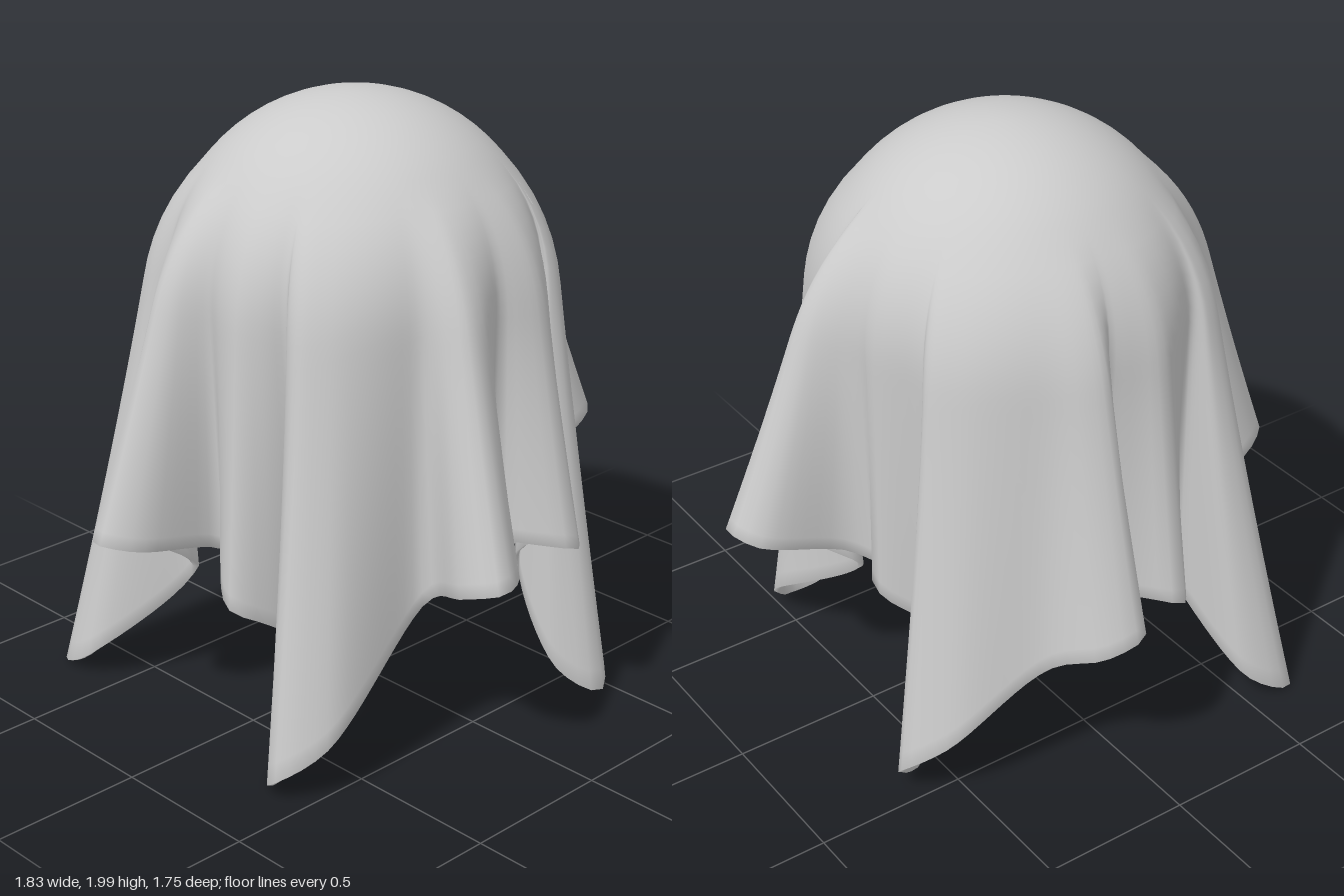
import * as THREE from 'three';

const COLS = 240, ROWS = 36, DOME_ROWS = 10;
const R = 0.6, CY = 1.4, CX = -0.02, CZ = -0.02; // round form under the cloth
const THICK = 0.016;

// Hem folds from +x towards +z: valley before the fold (x, z, y), tip (x, z),
// half width, heights of the fold's first side, tip and second side
const FOLDS = [
  [0.43, -0.3, 0.42, 0.56, -0.12, 0.03, 0.55, 0.59, 0.61], // left valley
  [0.58, -0.02, 0.65, 0.91, 0.17, 0.09, 0.74, 0.76, 0.71], // left
  [0.52, 0.03, 0.55, 0.45, 0.66, 0.11, 0.14, 0.01, 0.1], // front left corner
  [0.31, 0.4, 0.46, 0.18, 0.76, 0.1, 0.62, 0.65, 0.67], // front
  [0, 0.55, 0.67, -0.28, 0.87, 0.09, 0.69, 0.69, 0.65], // front
  [-0.27, 0.55, 0.55, -0.79, 0.41, 0.12, 0.18, 0.07, 0.01], // front right corner
  [-0.45, 0.22, 0.33, -0.7, 0.13, 0.09, 0.45, 0.52, 0.56], // right
  [-0.54, -0.08, 0.6, -0.92, -0.24, 0.09, 0.67, 0.69, 0.66], // right
  [-0.47, -0.31, 0.43, -0.67, -0.76, 0.12, 0.09, 0.01, 0.1], // back right corner
  [-0.38, -0.46, 0.4, -0.17, -0.77, 0.1, 0.54, 0.58, 0.6], // back
  [0.1, -0.6, 0.62, 0.06, -0.87, 0.09, 0.62, 0.62, 0.57], // back
  [0.3, -0.71, 0.5, 0.69, -0.45, 0.12, 0.24, 0.1, 0.01], // back left corner
];

// Each fold is a round loop that stands out from between its two valleys
function hemPoints() {
  return FOLDS.flatMap(([vx, vz, vy, tx, tz, width, y1, y2, y3], i) => {
    const [nx, nz] = FOLDS[(i + 1) % FOLDS.length];
    const out = new THREE.Vector2(tx - (vx + nx) / 2, tz - (vz + nz) / 2).setLength(width);
    const cx = tx - out.x, cz = tz - out.y;
    return [
      new THREE.Vector3(vx, vy, vz),
      new THREE.Vector3(cx + out.y, y1, cz - out.x),
      new THREE.Vector3(tx, y2, tz),
      new THREE.Vector3(cx - out.y, y3, cz + out.x),
    ];
  });
}

// Angle of each hem point, averaged along the hem so the folds open out evenly
function smoothAngles(hem) {
  const raw = [];
  hem.forEach((p, j) => {
    let a = Math.atan2(p.z - CZ, p.x - CX);
    if (j) a += Math.round((raw[j - 1] - a) / (2 * Math.PI)) * 2 * Math.PI;
    raw.push(a);
  });
  const at = (j) => raw[(j + COLS) % COLS] + Math.floor(j / COLS) * 2 * Math.PI;
  const half = Math.round(COLS / 22);
  return raw.map((_, j) => {
    let sum = 0, weight = 0;
    for (let k = -half; k <= half; k++) {
      const w = 1 + Math.cos((Math.PI * k) / (half + 1));
      sum += w * at(j + k);
      weight += w;
    }
    return sum / weight;
  });
}

// Grid of rows, each a closed ring, turned into a smooth surface
function ringGeometry(points) {
  const index = [];
  const rows = points.length / COLS;
  for (let i = 0; i < rows - 1; i++) {
    for (let j = 0; j < COLS; j++) {
      const a = i * COLS + j, b = i * COLS + ((j + 1) % COLS);
      index.push(a, b, a + COLS, b, b + COLS, a + COLS);
    }
  }
  const geometry = new THREE.BufferGeometry().setFromPoints(points);
  geometry.setIndex(index);
  geometry.computeVertexNormals();
  for (let j = 0; j < COLS; j++) geometry.attributes.normal.setXYZ(j, 0, 1, 0);
  return geometry;
}

// Rows run down the dome, then blend from the round form into the folded hem
function clothPoints() {
  const curve = new THREE.CatmullRomCurve3(hemPoints(), true, 'centripetal');
  curve.arcLengthDivisions = 1200;
  const hem = curve.getSpacedPoints(COLS).slice(0, COLS);
  const angles = smoothAngles(hem);
  const domeEnd = THREE.MathUtils.degToRad(50);
  const foldTop = CY + R * Math.cos(domeEnd);
  const points = [];
  for (let i = 0; i <= ROWS; i++) {
    const u = Math.max(0, (i - DOME_ROWS) / (ROWS - DOME_ROWS));
    const w = u ** 1.15; // folds deepen towards the hem
    const domeY = CY + R * Math.cos((domeEnd * i) / DOME_ROWS);
    for (let j = 0; j < COLS; j++) {
      const h = hem[j];
      const y = i < DOME_ROWS ? domeY : THREE.MathUtils.lerp(foldTop, h.y, u);
      const rise = THREE.MathUtils.clamp((y - CY) / R, 0, 1);
      const r = R * Math.sqrt(1 - rise * rise);
      points.push(new THREE.Vector3(
        THREE.MathUtils.lerp(CX + r * Math.cos(angles[j]), h.x, w), y,
        THREE.MathUtils.lerp(CZ + r * Math.sin(angles[j]), h.z, w)));
    }
  }
  return points;
}

export function createModel() {
  const outer = clothPoints();
  const normals = ringGeometry(outer).attributes.normal;
  // Lining: the same rows moved inwards and run back up from the hem
  const lining = [];
  for (let i = ROWS; i >= 0; i--) {
    for (let j = 0; j < COLS; j++) {
      const k = i * COLS + j;
      lining.push(outer[k].clone().addScaledVector(
        new THREE.Vector3().fromBufferAttribute(normals, k), -THICK));
    }
  }
  const geometry = ringGeometry([...outer, ...lining]);
  const last = (2 * ROWS + 1) * COLS;
  for (let j = 0; j < COLS; j++) geometry.attributes.normal.setXYZ(last + j, 0, -1, 0);

  const cloth = new THREE.Mesh(geometry, new THREE.MeshStandardMaterial({ color: 0xcccccc, side: THREE.DoubleSide }));
  cloth.name = 'drapedCloth';
  const group = new THREE.Group();
  group.name = 'drapedSheet';
  group.add(cloth);
  return group;
}
